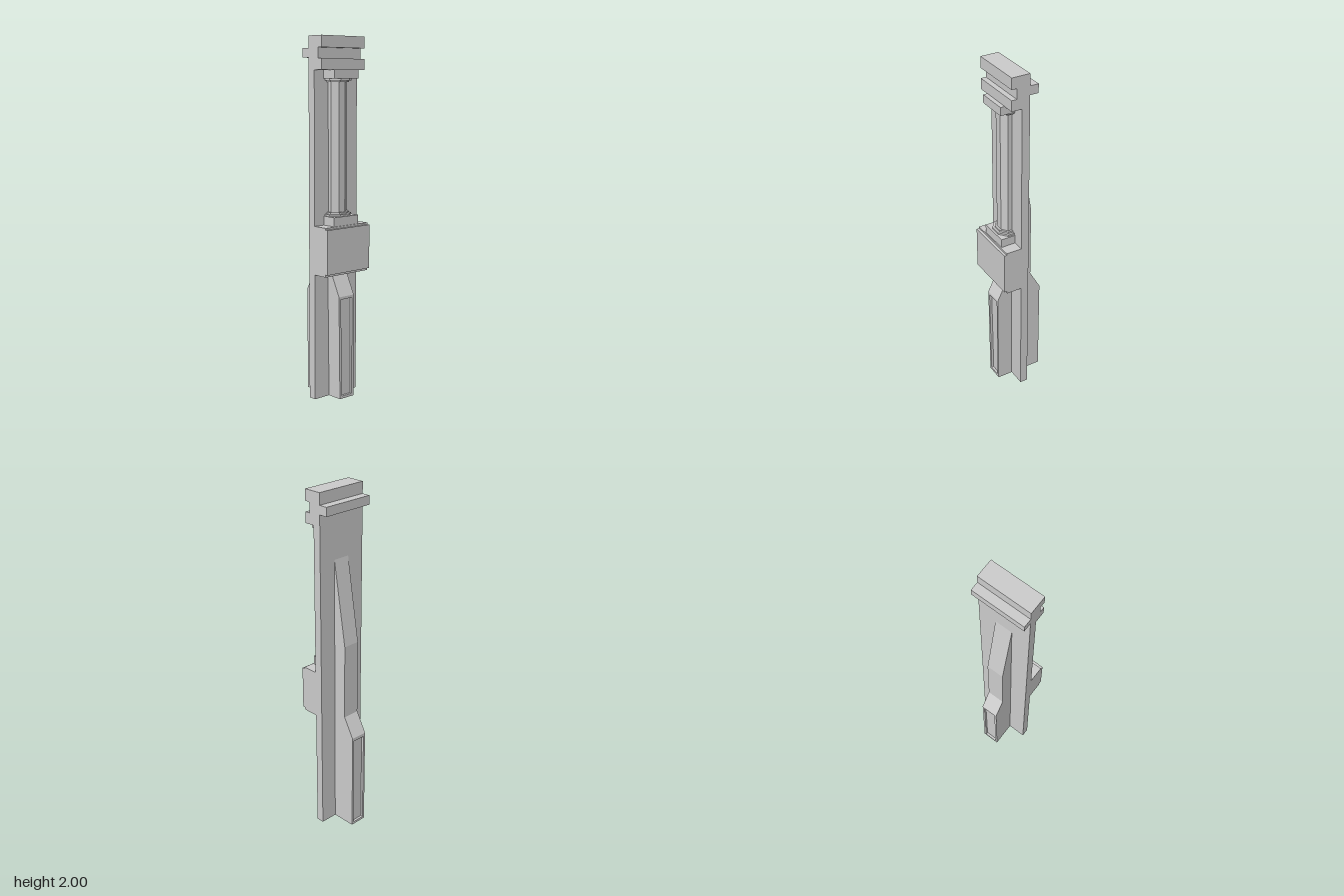
import * as THREE from 'three';

const material = new THREE.MeshStandardMaterial({ color: 0xcccccc, flatShading: true });

const shapeOf = (pts) => new THREE.Shape(pts.map(([x, y]) => new THREE.Vector2(x, y)));

// Extrudes an x/y profile along z between two depths
function slab(points, z0, z1) {
  return new THREE.ExtrudeGeometry(shapeOf(points), { depth: z1 - z0, bevelEnabled: false }).translate(0, 0, z0);
}

// Rectangle corners for a profile
const rect = (x0, x1, y0, y1) => [[x0, y0], [x1, y0], [x1, y1], [x0, y1]];

// Frame with an opening, drawn in z/y and extruded back from x
function frame(outer, inner, x, depth) {
  const shape = shapeOf(outer);
  shape.holes.push(shapeOf(inner));
  return new THREE.ExtrudeGeometry(shape, { depth, bevelEnabled: false })
    .rotateY(-Math.PI / 2).translate(x, 0, 0);
}

// Half-octagon pilaster section standing on the wall, grown outward by g
function pilaster(g, y0, y1) {
  const w = 0.056 + g, f = 0.022 + g * 0.4, x = 0.09 + g;
  const section = [[0.035, -w], [0.064 + g * 0.5, -w], [x, -f], [x, f], [0.064 + g * 0.5, w], [0.035, w]];
  return new THREE.ExtrudeGeometry(shapeOf(section), { depth: y1 - y0, bevelEnabled: false })
    .rotateX(-Math.PI / 2).translate(0, y0, 0);
}

export function createModel() {
  const group = new THREE.Group();
  const add = (name, geometry) => {
    const mesh = new THREE.Mesh(geometry, material);
    mesh.name = name;
    group.add(mesh);
  };
  const W = 0.155; // half width of the wall

  // Wall with stepped cornice on top and a ledge behind
  add('wallAndCornice', slab([
    [-0.006, 0], [0.04, 0], [0.04, 1.82], [0.1, 1.82], [0.1, 1.88], [0.07, 1.88],
    [0.07, 1.937], [0.1, 1.937], [0.1, 2], [-0.006, 2], [-0.006, 1.935],
    [-0.055, 1.935], [-0.055, 1.885], [-0.006, 1.885],
  ], -W, W));

  // Pedestal block with thin steps above and below
  add('pedestalBlock', slab([
    [0.035, 0.71], [0.131, 0.71], [0.131, 0.724], [0.147, 0.724], [0.147, 0.97],
    [0.131, 0.97], [0.131, 0.98], [0.035, 0.98],
  ], -W, W));

  // Column with plinth, capital and stepped rings
  add('columnShaft', pilaster(0, 1.03, 1.775));
  add('columnPlinth', slab(rect(0.035, 0.125, 0.975, 1.03), -0.088, 0.088));
  add('columnCapital', slab(rect(0.035, 0.125, 1.775, 1.822), -0.088, 0.088));
  [[0.024, 0, 0.01], [0.011, 0.01, 0.02]].forEach(([grow, a, b]) => {
    add('baseRing', pilaster(grow, 1.03 + a, 1.03 + b));
    add('capitalRing', pilaster(grow, 1.775 - b, 1.775 - a));
  });

  // Front buttress, sloped at the top and slightly tapered on its left side
  const front = slab([
    [0.035, 0], [0.118, 0], [0.118, 0.585], [0.132, 0.585], [0.07, 0.712], [0.035, 0.712],
  ], -0.051, 0.059);
  const p = front.attributes.position;
  for (let i = 0; i < p.count; i++) {
    if (p.getZ(i) > 0 && p.getY(i) < 0.1) p.setZ(i, 0.051);
  }
  front.computeVertexNormals();
  add('frontButtress', front);
  add('frontPanelFrame', frame(
    [[-0.051, 0], [0.051, 0], [0.059, 0.585], [-0.051, 0.585]],
    [[-0.038, 0.015], [0.034, 0.015], [0.045, 0.57], [-0.038, 0.57]], 0.132, 0.014));

  // Back buttress, stepping in and tapering into the wall
  add('backButtress', slab([
    [0, 0], [0, 1.62], [-0.006, 1.62], [-0.084, 1.14], [-0.084, 0.705],
    [-0.148, 0.59], [-0.134, 0.59], [-0.134, 0],
  ], -0.052, 0.049));
  add('backPanelFrame', frame(
    rect(-0.052, 0.049, 0, 0.59), rect(-0.039, 0.036, 0.015, 0.57), -0.134, 0.014));

  return group;
}
